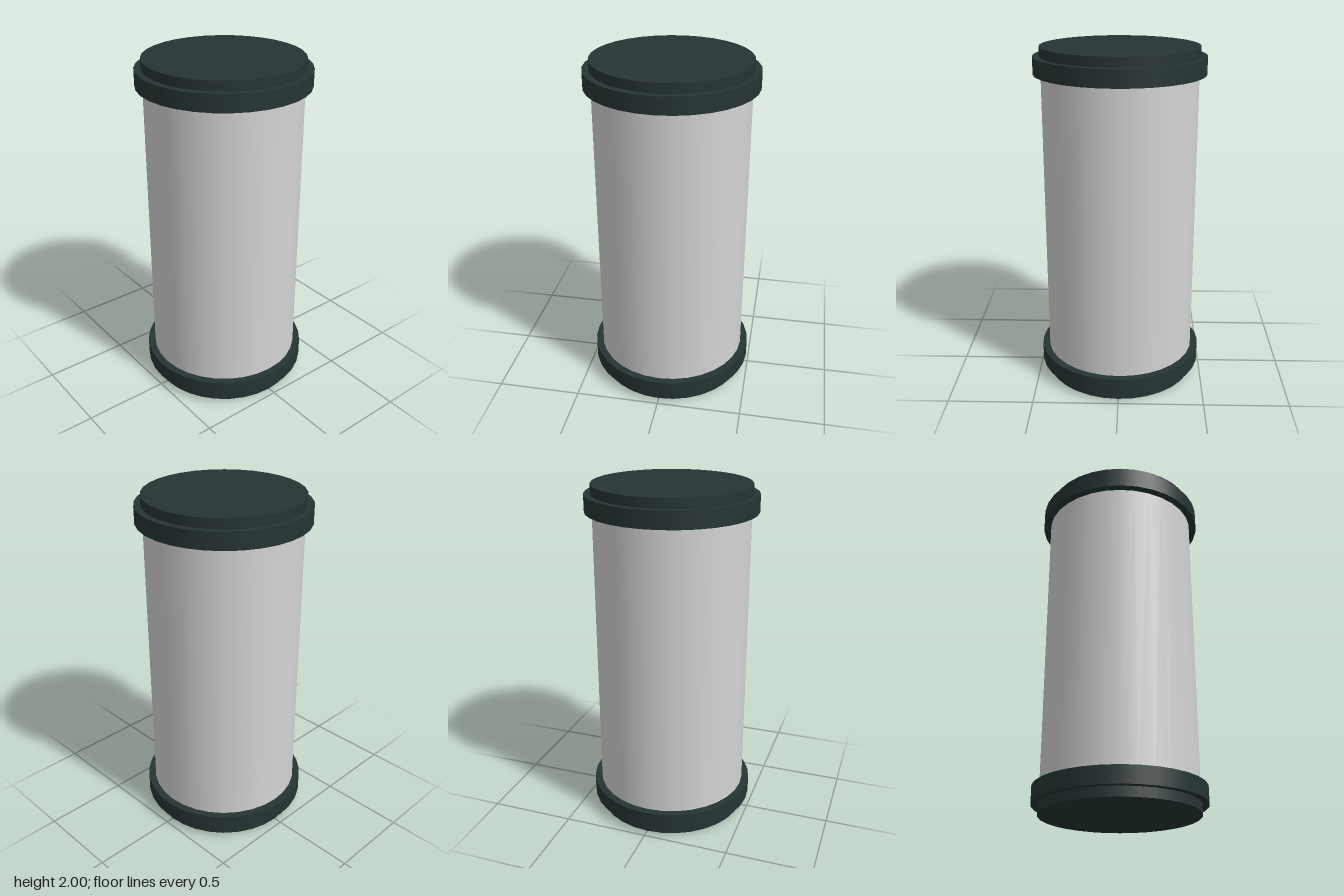
import * as THREE from 'three';

const SIDES = 32;

export function createModel() {
  const model = new THREE.Group();
  model.name = 'canister';

  const darkCap = new THREE.MeshStandardMaterial({ color: 0x263434 });
  darkCap.name = 'darkCap';
  const paleTube = new THREE.MeshStandardMaterial({ color: 0xd4d4d4 });
  paleTube.name = 'paleTube';

  // Upright cylinder between two heights
  function addCylinder(parent, name, radius, bottom, top, material, open = false) {
    const height = top - bottom;
    const geometry = new THREE.CylinderGeometry(radius, radius, height, SIDES, 1, open);
    const mesh = new THREE.Mesh(geometry, material);
    mesh.name = name;
    mesh.position.y = bottom + height / 2;
    parent.add(mesh);
  }

  // Tube wall between the caps
  addCylinder(model, 'tube', 0.447, 0.1, 1.9, paleTube, true);

  // Matching end caps: a disc with a wider collar around it
  for (const end of ['bottom', 'top']) {
    const cap = new THREE.Group();
    cap.name = end + 'Cap';
    const span = (a, b) => (end === 'bottom' ? [a, b] : [2 - b, 2 - a]);
    addCylinder(cap, end + 'Disc', 0.452, ...span(0, 0.1), darkCap);
    addCylinder(cap, end + 'Collar', 0.49, ...span(0.055, 0.153), darkCap);
    model.add(cap);
  }

  return model;
}
